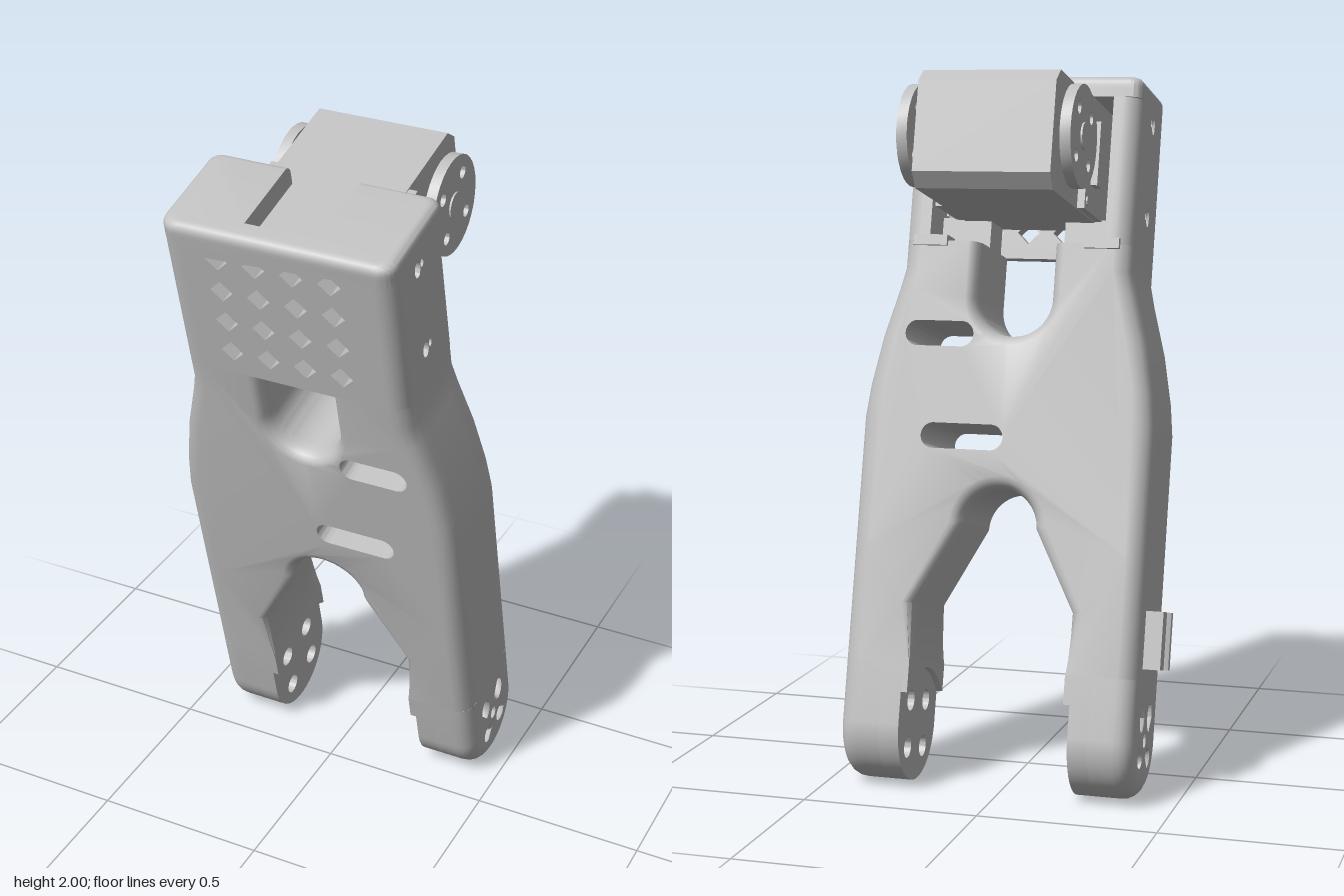
import * as THREE from 'three';
import { toCreasedNormals } from 'three/addons/utils/BufferGeometryUtils.js';

const T = 0.16;          // half thickness of the link
const TOP = 1.842;       // top of the link above the lower pivot
const SHELF = 1.365;     // floor of the motor bay
const FILLET = 0.05;

export function createModel() {
  const grey = new THREE.MeshStandardMaterial({ color: 0xc0c0c0 });
  grey.name = 'lightGrey';
  const model = new THREE.Group();
  const link = new THREE.Group();
  link.name = 'link';
  link.position.set(0.023, 0.16, -0.22);
  link.rotation.x = THREE.MathUtils.degToRad(14.2);
  model.add(link);

  const add = (name, geometry) => {
    const mesh = new THREE.Mesh(toCreasedNormals(geometry, 0.6), grey);
    mesh.name = name;
    link.add(mesh);
    return mesh;
  };
  const box = (name, x0, x1, y0, y1, z0, z1) => {
    const g = new THREE.BoxGeometry(x1 - x0, y1 - y0, z1 - z0);
    add(name, g.translate((x0 + x1) / 2, (y0 + y1) / 2, (z0 + z1) / 2));
  };
  const polygon = (pts) => new THREE.Shape(pts.map(([x, y]) => new THREE.Vector2(x, y)));
  const circle = (x, y, r) => new THREE.Path().absarc(x, y, r, 0, Math.PI * 2, true);
  const inset = (over, r) => (over > 0 ? r - Math.sqrt(Math.max(0, r * r - over * over)) : 0);
  const extrude = (shape, depth, steps = 1) =>
    new THREE.ExtrudeGeometry(shape, { depth, steps, bevelEnabled: false, curveSegments: 16 });
  const reshape = (g, rule) => {
    const p = g.attributes.position;
    const v = new THREE.Vector3();
    for (let i = 0; i < p.count; i++) {
      rule(v.fromBufferAttribute(p, i));
      p.setXYZ(i, v.x, v.y, v.z);
    }
    return g;
  };
  // Plate extruded with only its far edge rounded
  const roundedPlate = (shape, depth, r, apply) =>
    reshape(extrude(shape, depth, r ? 8 : 1), (v) => {
      if (!r) return;
      v.z = depth * Math.sin((v.z / depth) * Math.PI / 2);
      apply(v, inset(v.z - (depth - r), r));
    });
  // Plate facing sideways, from x = from to x = to on side s
  const sidePlate = (name, makeShape, s, from, to, r = 0) => {
    const g = roundedPlate(makeShape(-s), to - from, r, (v, d) => {
      const k = (T - d) / T;
      v.x *= k;
      if (v.y < 0) v.y *= k;
    });
    return add(name, g.translate(0, 0, from).rotateY(s * Math.PI / 2));
  };
  const corners = [[-1, -1], [1, -1], [1, 1], [-1, 1]];

  // Main body: forked legs below, U-shaped opening above.
  // The outline is that of the flat faces; rings in between swell to form the fillets.
  const right = [[0.372, 0.17], [0.372, 0.5], [0.372, 0.86], [0.362, 0.95], [0.335, 1.09], [0.296, 1.23], [0.282, 1.29], [0.282, SHELF]];
  const U = 0.138, ARCH = 0.14, ARCH_Y = 0.565;
  const body = polygon(right);
  body.lineTo(U, SHELF);
  body.lineTo(U, 1.21);
  body.absarc(0, 1.21, U, 0, -Math.PI, true);
  body.lineTo(-U, SHELF);
  [...right].reverse().forEach(([x, y]) => body.lineTo(-x, y));
  body.lineTo(-0.225, 0.17);
  body.lineTo(-0.26, 0.34);
  body.lineTo(-ARCH, ARCH_Y);
  body.absarc(0, ARCH_Y, ARCH, Math.PI, 0, true);
  body.lineTo(0.26, 0.34);
  body.lineTo(0.225, 0.17);
  for (const [x0, x1, y] of [[0.106, 0.307, 1.1], [0, 0.24, 0.811]]) {
    const slot = new THREE.Path(), r = 0.036;
    slot.absarc(x0 + r, y, r, Math.PI / 2, Math.PI * 1.5, false);
    slot.absarc(x1 - r, y, r, -Math.PI / 2, Math.PI / 2, false);
    body.holes.push(slot);
  }
  add('forkedBody', reshape(extrude(body, 2 * T, 14), (v) => {
    v.z = T * Math.sin((v.z / T - 1) * Math.PI / 2);
    const e = FILLET - inset(Math.abs(v.z) - (T - FILLET), FILLET);
    const side = Math.sign(v.x);
    if (Math.abs(v.x) > 0.32 || (v.y > 1.2 && Math.abs(v.x) > 0.2)) v.x += side * e;  // outer edges
    else if (v.y < 0.72) {                                     // arch between the legs
      const m = e * 0.7 * Math.min(1, (v.y - 0.17) / 0.17);
      const a = Math.atan2(Math.max(0, v.y - ARCH_Y), v.x);
      v.x -= m * (v.y > ARCH_Y ? Math.cos(a) : side);
      if (v.y > ARCH_Y) v.y -= m * Math.sin(a);
    } else if (v.y > 1.21) v.x -= side * e * 0.6;              // upper opening, straight sides
    else if (Math.hypot(v.x, v.y - 1.21) < U + 0.001) {        // upper opening, round end
      const k = 1 - e * 0.6 / U;
      v.x *= k;
      v.y = 1.21 + (v.y - 1.21) * k;
    }
  }));

  // Foot profile with four screw holes, teardrop-shaped on the outside
  const footShape = (outer) => (f) => {
    const s = new THREE.Shape();
    s.moveTo(-T, 0.17);
    s.lineTo(-T, 0);
    s.absarc(0, 0, T, Math.PI, Math.PI * 2, false);
    s.lineTo(T, 0.17);
    for (const [a, b] of corners) {
      const x = f * a * 0.066, y = b * 0.066;
      if (!outer) { s.holes.push(circle(x, y, 0.03)); continue; }
      const dir = Math.atan2(y, x) - f * Math.PI / 2, h = new THREE.Path();
      h.moveTo(x + 0.055 * Math.cos(dir), y + 0.055 * Math.sin(dir));
      h.absarc(x, y, 0.04, dir + 0.8, dir + Math.PI * 2 - 0.8, false);
      s.holes.push(h);
    }
    if (outer) s.holes.push(circle(0, 0, 0.024));
    return s;
  };
  // Rim left above the round recess on the inside of each foot
  const rimShape = () => {
    const s = polygon([[T, 0.17], [-T, 0.17], [-T, 0.09]]);
    s.quadraticCurveTo(0, 0.23, T, 0.09);
    return s;
  };
  // Side wall of the motor bay with its screw holes
  const wallShape = (f) => {
    const s = polygon([[-T, SHELF], [T, SHELF], [T, 1.78], [-T, 1.78]]);
    for (const y of [1.737, 1.47])
      s.holes.push(circle(f * 0.022, y, 0.024), circle(f * -0.017, y + 0.003, 0.012));
    return s;
  };
  const hornShape = () => {
    const s = new THREE.Shape().absarc(0, 0, 0.14, 0, Math.PI * 2, false);
    for (const [a, b] of corners) s.holes.push(circle(a * 0.065, b * 0.065, 0.018));
    return s;
  };
  const disc = (name, s, x0, x1, r, y, z) =>
    add(name, new THREE.CylinderGeometry(r, r, x1 - x0, 32).rotateZ(Math.PI / 2).translate(s * (x0 + x1) / 2, y, z));

  for (const s of [1, -1]) {
    sidePlate('footInner', footShape(false), s, 0.243, 0.3);
    sidePlate('footOuter', footShape(true), s, 0.3, 0.422, FILLET);
    sidePlate('footRim', rimShape, s, 0.225, 0.243);
    sidePlate('bayWall', wallShape, s, 0.255, 0.332, FILLET);
    // Motor horn, its hub and the case screws
    sidePlate('horn', hornShape, s, 0.212, 0.242).position.set(0, 1.61, -0.402);
    disc('hornHub', s, 0.18, 0.215, s > 0 ? 0.06 : 0.04, 1.61, -0.402);
    disc('hornCap', s, 0.2, 0.247, 0.038, 1.61, -0.402);
    for (const y of [1.47, 1.74]) disc('caseScrew', s, 0.2, 0.219, 0.013, y, -0.225);
    const x = s * 0.25;
    box('shelfTab', x - 0.05, x + 0.05, 1.35, SHELF + 0.015, -0.172, -0.1);
    box('motorSocket', s * 0.222 - 0.012, s * 0.222 + 0.012, 1.52, 1.7, -0.2, -0.15);
    box('motorSupport', s * 0.185 - 0.075, s * 0.185 + 0.075, SHELF, 1.45, -0.05, 0.06);
  }

  // Front plate of the motor bay with a grid of diamond vents
  const front = polygon([[-0.255, SHELF], [0.255, SHELF], [0.255, 1.78], [-0.255, 1.78]]);
  for (let i = 0; i < 4; i++) for (let j = 0; j < 4; j++) {
    const x = -0.17 + i * 0.108, y = 1.442 + j * 0.1035, r = 0.033;
    front.holes.push(polygon([[x - r, y], [x, y + r], [x + r, y], [x, y - r]]));
  }
  add('ventedPlate', extrude(front, 0.045).translate(0, 0, 0.115));

  // Top cover with a notch open to the back
  const cover = new THREE.Shape();
  cover.moveTo(-0.105, T);
  cover.lineTo(-0.3, T);
  cover.absarc(-0.302, T - 0.03, 0.03, Math.PI / 2, Math.PI, false);
  cover.absarc(-0.332 + FILLET, -T + FILLET, FILLET, Math.PI, Math.PI * 1.5, false);
  cover.absarc(0.332 - FILLET, -T + FILLET, FILLET, -Math.PI / 2, 0, false);
  cover.absarc(0.302, T - 0.03, 0.03, 0, Math.PI / 2, false);
  cover.lineTo(0.108, T);
  cover.lineTo(0.108, -0.115);
  cover.lineTo(-0.105, -0.115);
  add('topCover', roundedPlate(cover, TOP - 1.78, 0.025, (v, d) => {
    if (Math.abs(v.x) > 0.12) v.x *= (0.332 - d) / 0.332;
    v.y *= (T - d) / T;
  }).rotateX(-Math.PI / 2).translate(0, 1.78, 0));

  // Motor with chamfered back edges, and its wider case inside the bay
  const motor = polygon([[-0.075, 1.443], [0.502, 1.443], [0.539, 1.482], [0.539, 1.73], [0.502, 1.767], [-0.075, 1.767]]);
  add('motor', extrude(motor, 0.384).translate(0, 0, -0.194).rotateY(Math.PI / 2));
  box('motorCase', -0.215, 0.215, 1.446, 1.764, -0.25, 0.055);

  // Cable clip on the outside of one leg: a post and a sloped hook
  box('clipPost', -0.471, -0.41, 0.2, 0.36, -0.08, -0.035);
  const hook = polygon([[-0.41, -0.015], [-0.45, -0.015], [-0.471, -0.025], [-0.471, -0.045], [-0.41, -0.1]]);
  add('clipHook', extrude(hook, 0.16).rotateX(-Math.PI / 2).translate(0, 0.2, 0));

  return model;
}
